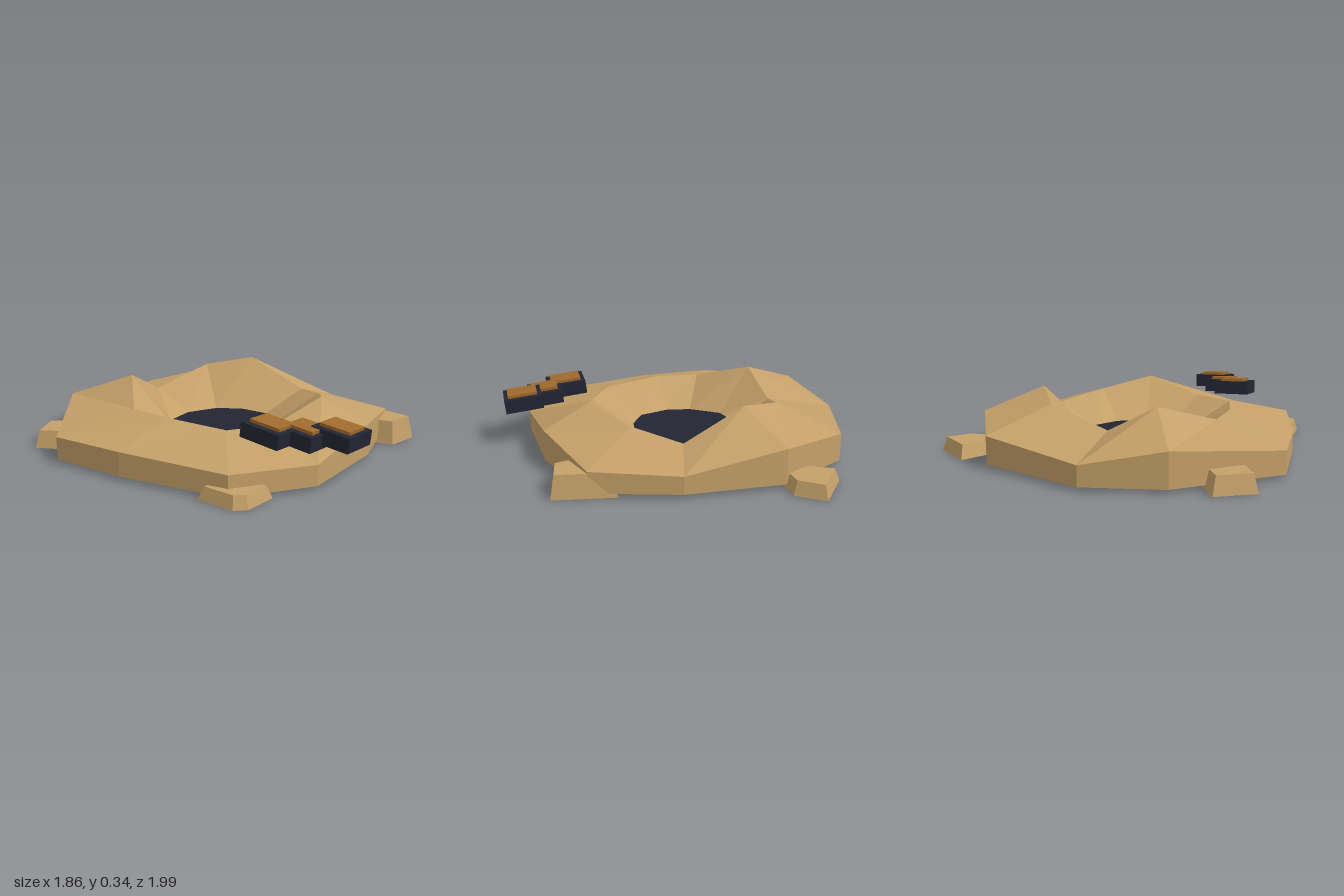
import * as THREE from 'three';

const mat = (name, color, flat = true) => {
  const m = new THREE.MeshStandardMaterial({ color, flatShading: flat });
  m.name = name;
  return m;
};

// Ground-plan rings [x, y, z], all running the same way round
const OUTER = [
  [0.8, 0.19, 0.08], [0.75, 0.135, -0.42], [0.34, 0.115, -0.65], [-0.17, 0.21, -0.78],
  [-0.6, 0.17, -0.65], [-0.92, 0.125, -0.13], [-0.91, 0.2, 0.29], [-0.6, 0.14, 0.84],
  [-0.18, 0.145, 0.905], [0.41, 0.13, 0.915], [0.72, 0.125, 0.6],
];
const RIM = [
  [0.54, 0.305, 0.08], [0.42, 0.24, -0.2], [0.23, 0.19, -0.43], [-0.11, 0.345, -0.455],
  [-0.375, 0.295, -0.36], [-0.535, 0.2, -0.04], [-0.55, 0.33, 0.21], [-0.35, 0.23, 0.5],
  [-0.11, 0.235, 0.57], [0.23, 0.215, 0.57], [0.405, 0.215, 0.38],
];
const FLOOR = [
  [0.27, 0.08], [0.22, -0.09], [0.1, -0.2], [-0.07, -0.225], [-0.21, -0.17], [-0.32, -0.02],
  [-0.33, 0.16], [-0.2, 0.31], [-0.07, 0.365], [0.11, 0.35], [0.21, 0.24],
].map(([x, z]) => [x, 0.08, z]);

const atHeight = (ring, y) => ring.map(([x, , z]) => [x, y, z]);

function geometryOf(triangles) {
  const g = new THREE.BufferGeometry();
  g.setAttribute('position', new THREE.Float32BufferAttribute(triangles.flat(2), 3));
  g.computeVertexNormals();
  return g;
}

// Bands of triangles joining successive rings
function bands(rings) {
  const out = [];
  for (let r = 0; r + 1 < rings.length; r++) {
    const a = rings[r], b = rings[r + 1];
    for (let i = 0; i < a.length; i++) {
      const j = (i + 1) % a.length;
      out.push([a[i], a[j], b[j]], [a[i], b[j], b[i]]);
    }
  }
  return out;
}

// Flat cap over a ring, facing up or down
function cap(ring, up) {
  const c = [0, 1, 2].map((k) => ring.reduce((s, p) => s + p[k], 0) / ring.length);
  return ring.map((p, i) => {
    const q = ring[(i + 1) % ring.length];
    return up ? [c, p, q] : [c, q, p];
  });
}

export function createModel() {
  const group = new THREE.Group();
  const sand = mat('sand', 0xc4a068);
  const soil = mat('dark soil', 0x4d3f32);
  const dark = mat('dark metal', 0x242533);
  const amber = mat('amber', 0xa06a2c);

  const add = (name, geometry, material, parent = group) => {
    const m = new THREE.Mesh(geometry, material);
    m.name = name;
    parent.add(m);
    return m;
  };

  // Crater mound: outer wall, outer slope, inner slope
  const base = atHeight(OUTER, 0.02);
  add('craterMound', geometryOf(bands([base, OUTER, RIM, FLOOR])), sand);
  add('craterUnderside', geometryOf(cap(base, false)), soil);

  // Dark pit: floor above, matching disc below
  add('pitFloor', geometryOf(cap(FLOOR, true)), dark);
  add('pitUnderside', geometryOf(cap(atHeight(FLOOR, 0.016), false)), dark);

  // Tapered rocks around the edge: height and footprint
  const rocks = [
    [0.075, [[-0.33, -0.72], [-0.17, -0.75], [-0.15, -0.87], [-0.26, -1.0], [-0.46, -0.83]]],
    [0.125, [[0.7, -0.19], [0.86, -0.2], [0.925, -0.37], [0.62, -0.49]]],
    [0.095, [[-0.86, 0.7], [-0.62, 0.63], [-0.72, 0.42], [-0.93, 0.49]]],
    [0.065, [[0.27, 0.945], [0.47, 0.99], [0.53, 0.95], [0.57, 0.78], [0.33, 0.76]]],
  ];
  for (const [h, plan] of rocks) {
    const foot = plan.map(([x, z]) => [x, 0, z]);
    const cx = plan.reduce((s, p) => s + p[0], 0) / plan.length;
    const cz = plan.reduce((s, p) => s + p[1], 0) / plan.length;
    const top = plan.map(([x, z]) => [cx + (x - cx) * 0.82, h, cz + (z - cz) * 0.82]);
    add('rock', geometryOf([...bands([foot, top]), ...cap(top, true), ...cap(foot, false)]), sand);
  }

  // Three tilted boxes with raised amber panels: centre, width, depth
  const boxes = [
    [0.485, 0.255, 0.605, 0.22, 0.2],
    [0.635, 0.24, 0.545, 0.19, 0.2],
    [0.785, 0.245, 0.485, 0.21, 0.2],
  ];
  for (const [x, y, z, w, d] of boxes) {
    const box = new THREE.Group();
    box.name = 'panelBox';
    box.position.set(x, y, z);
    box.rotation.set(0, 0.235, -0.11, 'ZYX');
    // Yaw is reversed so the row's near edges swing toward the front
    box.rotation.y = -0.235;
    add('boxBody', new THREE.BoxGeometry(w, 0.075, d), dark, box);
    add('boxPanel', new THREE.BoxGeometry(w * 0.78, 0.016, d * 0.65), amber, box).position.y = 0.0455;
    group.add(box);
  }
  return group;
}
